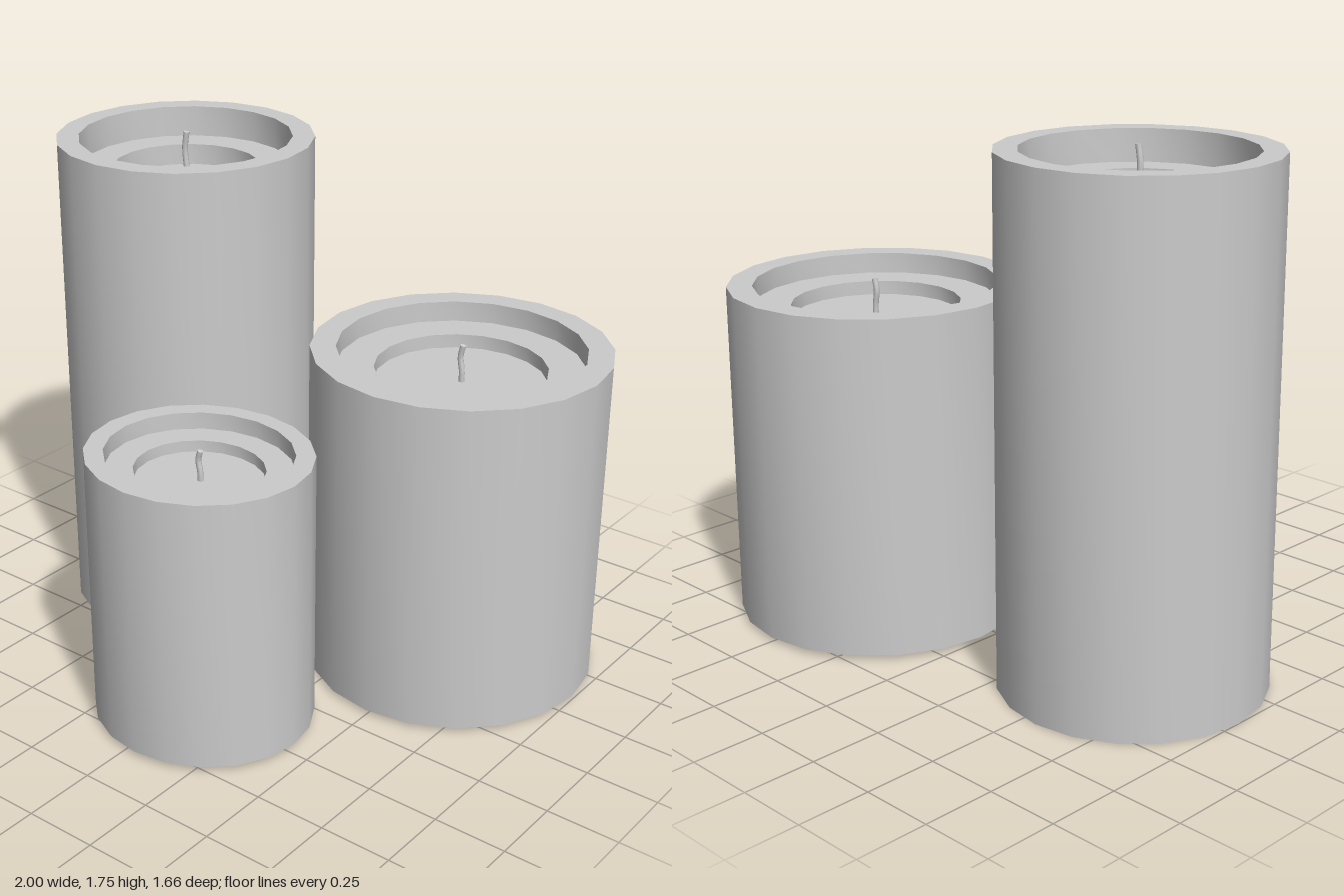
import * as THREE from 'three';
import { toCreasedNormals } from 'three/addons/utils/BufferGeometryUtils.js';

const SIDES = 20;
const material = new THREE.MeshStandardMaterial({ color: 0xcccccc });

// Solid candle body: outer wall, flat rim, ledge and sunken melt pool
function waxBody(radius, height) {
  const profile = [
    [0, 0],
    [1, 0],
    [1, 1],
    [0.828, 1],
    [0.828, 0.938],
    [0.576, 0.938],
    [0.576, 0.896],
    [0, 0.896],
  ].map(([r, y]) => new THREE.Vector2(r * radius, y * height));
  const mesh = new THREE.Mesh(toCreasedNormals(new THREE.LatheGeometry(profile, SIDES), 0.6), material);
  mesh.name = 'waxBody';
  return mesh;
}

// Slightly bowed wick, rising from the pool to just above the rim
function wick(height) {
  const group = new THREE.Group();
  group.name = 'wick';
  const r = 0.01;
  const base = 0.89 * height;
  const top = 1.007 * height;
  const at = (x, t) => new THREE.Vector3(x, base + (top - base) * t, 0);
  const curve = new THREE.CatmullRomCurve3([at(0.004, 0), at(0.003, 0.35), at(-0.004, 0.7), at(0.005, 1)]);
  const stem = new THREE.Mesh(new THREE.TubeGeometry(curve, 8, r, 8), material);
  stem.name = 'wickStem';
  const tip = new THREE.Mesh(new THREE.CircleGeometry(r, 8), material);
  tip.name = 'wickTip';
  tip.position.copy(curve.getPoint(1));
  tip.lookAt(tip.position.clone().add(curve.getTangent(1)));
  group.add(stem, tip);
  return group;
}

function candle({ name, x, y, z, radius, height, depthScale = 1 }) {
  const group = new THREE.Group();
  group.name = name;
  group.add(waxBody(radius, height), wick(height));
  group.position.set(x, y, z);
  group.scale.z = depthScale;
  return group;
}

export function createModel() {
  const model = new THREE.Group();
  model.name = 'candleTrio';
  model.add(
    candle({ name: 'tallCandle', x: -0.556, y: 0, z: -0.18, radius: 0.444, height: 1.737 }),
    candle({ name: 'wideCandle', x: 0.498, y: 0.015, z: -0.332, radius: 0.502, height: 1.157 }),
    // The small candle is slightly flattened front to back
    candle({ name: 'smallCandle', x: 0.048, y: 0.018, z: 0.478, radius: 0.382, height: 0.945, depthScale: 0.922 })
  );
  return model;
}
